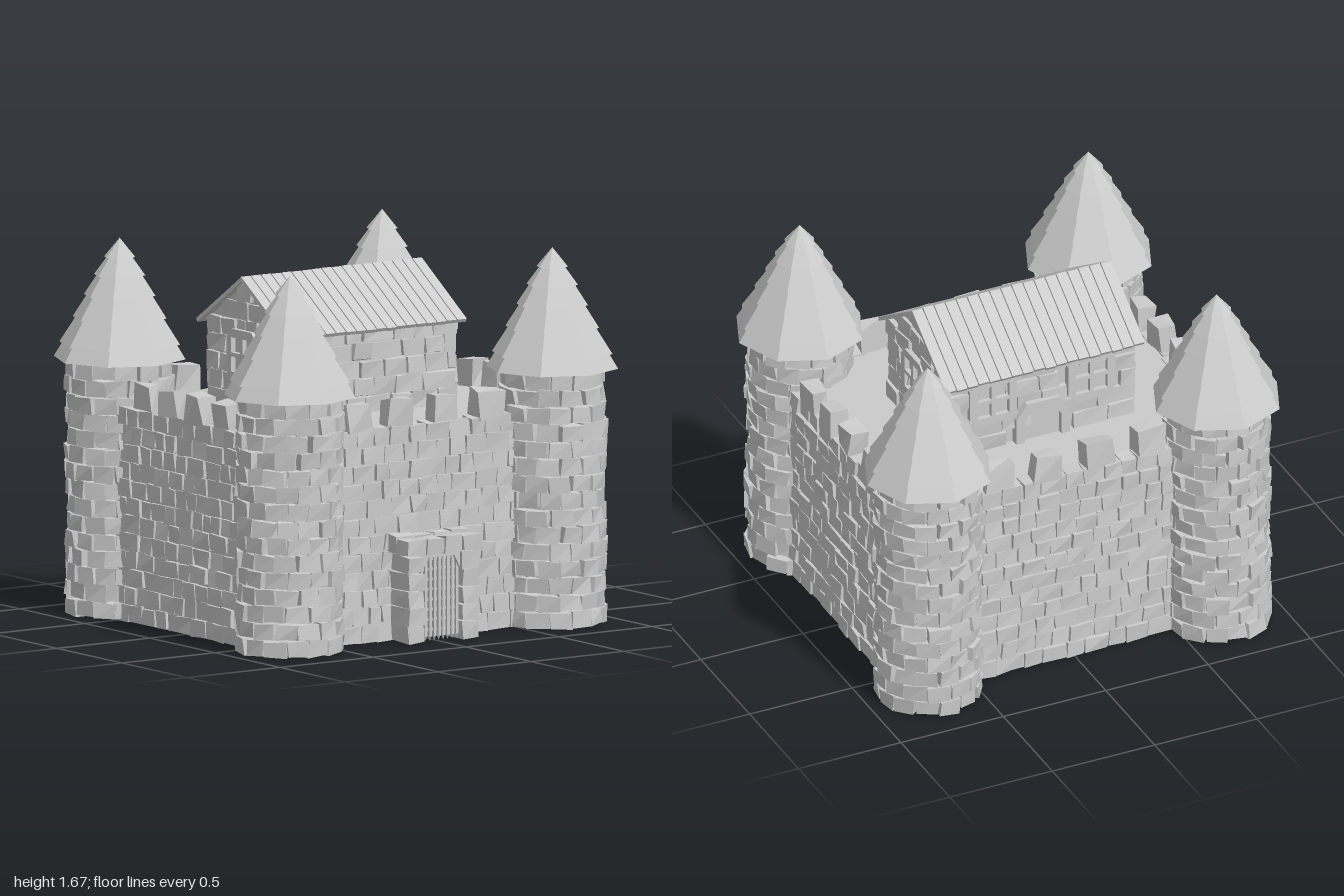
import * as THREE from 'three';
import { mergeGeometries } from 'three/addons/utils/BufferGeometryUtils.js';

const stoneMat = new THREE.MeshStandardMaterial({ color: 0xcccccc, flatShading: true, side: THREE.DoubleSide });

let seed = 7;
function rnd(a = -1, b = 1) {
  seed = (seed * 16807) % 2147483647;
  return a + (b - a) * (seed / 2147483647);
}

// A box whose eight corners are nudged, so it looks hand cut
function stone(x, y, z, w, h, d, wobble = 0.006) {
  const g = new THREE.BoxGeometry(w, h, d);
  const p = g.attributes.position;
  const nudge = Array.from({ length: 8 }, () => [rnd(), rnd(), rnd()]);
  for (let i = 0; i < p.count; i++) {
    const c = (p.getX(i) > 0 ? 1 : 0) + (p.getY(i) > 0 ? 2 : 0) + (p.getZ(i) > 0 ? 4 : 0);
    const n = nudge[c];
    p.setXYZ(i, p.getX(i) + n[0] * wobble, p.getY(i) + n[1] * wobble, p.getZ(i) + n[2] * wobble);
  }
  return g.translate(x, y, z);
}

const box = (x, y, z, w, h, d) => new THREE.BoxGeometry(w, h, d).translate(x, y, z);

function mesh(name, geos, parent) {
  const m = new THREE.Mesh(Array.isArray(geos) ? mergeGeometries(geos) : geos, stoneMat);
  m.name = name;
  parent.add(m);
  return m;
}

function group(name, parent, x = 0, y = 0, z = 0, turn = 0) {
  const g = new THREE.Group();
  g.name = name;
  g.position.set(x, y, z);
  g.rotation.y = turn;
  parent.add(g);
  return g;
}

// Courses of stones along x; limit(y) gives the half width, skip leaves holes
function courses(half, y0, y1, rows, z, depth, width, limit = () => half, skip = () => false) {
  const out = [], h = (y1 - y0) / rows;
  for (let r = 0; r < rows; r++) {
    const y = y0 + (r + 0.5) * h, end = limit(y);
    let x = -end;
    while (x < end - 0.015) {
      let w = Math.min(width * rnd(0.7, 1.3), end - x);
      if (end - x - w < 0.04) w = end - x;
      const cx = x + w / 2;
      if (!skip(cx, y)) out.push(stone(cx, y, z + rnd() * 0.007, w - 0.007, h - 0.006, depth));
      x += w;
    }
  }
  return out;
}

function tower(parent, x, z) {
  const g = group('cornerTower', parent, x, 0, z);
  const stones = [], rows = 15, h = 1.14 / rows, n = 14;
  for (let r = 0; r < rows; r++) {
    for (let i = 0; i < n; i++) {
      const s = stone(0, (r + 0.5) * h, 0.197 + rnd() * 0.008, 0.098 + rnd() * 0.008, h - 0.005, 0.07, 0.007);
      stones.push(s.rotateY(((i + (r % 2) / 2 + rnd() * 0.07) / n) * Math.PI * 2));
    }
  }
  mesh('towerStones', stones, g);
  mesh('towerCore', new THREE.CylinderGeometry(0.195, 0.195, 1.13, 16, 1, true).translate(0, 0.57, 0), g);
  // Eight-sided roof in overlapping tiers
  const tiers = [[0.295, 1.135], [0.27, 1.2], [0.21, 1.315], [0.16, 1.415], [0.115, 1.505], [0.07, 1.585], [0, 1.67]];
  const profile = [new THREE.Vector2(0, 1.135)];
  tiers.forEach(([r, y], i) => {
    profile.push(new THREE.Vector2(r, y));
    if (i < tiers.length - 2) profile.push(new THREE.Vector2(tiers[i + 1][0] - 0.018, tiers[i + 1][1] + 0.006));
  });
  mesh('towerRoof', new THREE.LatheGeometry(profile, 8), g);
}

function wall(parent, name, half, x, z, turn, spacing) {
  const g = group(name, parent, x, 0, z, turn);
  mesh('wallStones', courses(half, 0, 0.955, 12, 0, 0.075, 0.1), g);
  mesh('wallCore', box(0, 0.47, 0, half * 2, 0.94, 0.05), g);
  const merlons = [];
  for (let i = 0; i < 4; i++) {
    merlons.push(stone((i - 1.5) * spacing + rnd() * 0.01, 1.01, 0, spacing * 0.56, 0.12, 0.08, 0.014));
  }
  mesh('merlons', merlons, g);
}

// Frame with cut corners and four panes
function houseWindow(parent, x, y, z, turn) {
  const g = group('window', parent, x, y, z, turn);
  const a = 0.115, c = 0.04;
  const s = new THREE.Shape([[-a, c - a], [c - a, -a], [a - c, -a], [a, c - a], [a, a - c], [a - c, a], [c - a, a], [-a, a - c]]
    .map(p => new THREE.Vector2(...p)));
  for (const i of [-1, 1]) for (const j of [-1, 1]) {
    const k = 0.034, px = i * 0.043, py = j * 0.043;
    s.holes.push(new THREE.Path([[-k, -k], [-k, k], [k, k], [k, -k]].map(p => new THREE.Vector2(p[0] + px, p[1] + py))));
  }
  mesh('windowFrame', new THREE.ExtrudeGeometry(s, { depth: 0.035, bevelEnabled: false }), g);
  mesh('windowPanes', box(0, 0, 0.006, 0.17, 0.17, 0.012), g);
}

function archShape(w, h, rise) {
  const s = new THREE.Shape();
  s.moveTo(-w, 0);
  s.lineTo(w, 0);
  s.lineTo(w, h - rise);
  s.lineTo(w * 0.6, h);
  s.lineTo(-w * 0.6, h);
  s.lineTo(-w, h - rise);
  s.closePath();
  return s;
}

function house(parent) {
  const g = group('house', parent, 0, 0, -0.035);
  const hw = 0.285, eave = 1.345, ridge = 1.535;
  // Solid body with gabled ends
  const s = new THREE.Shape([[-hw, 0.93], [hw, 0.93], [hw, eave], [0, ridge], [-hw, eave]].map(p => new THREE.Vector2(...p)));
  mesh('houseBody', new THREE.ExtrudeGeometry(s, { depth: 0.9, bevelEnabled: false }).translate(0, 0, -0.45).rotateY(Math.PI / 2), g);
  const gable = y => (y < eave - 0.03 ? hw : hw * (ridge - y - 0.02) / (ridge - eave));
  for (const side of [-1, 1]) {
    const end = group('gableEnd', g, side * 0.45, 0, 0, side * Math.PI / 2);
    mesh('gableStones', courses(hw, 0.95, 1.52, 7, 0, 0.035, 0.11, gable,
      (x, y) => Math.abs(x) < 0.11 && Math.abs(y - 1.2) < 0.1), end);
    houseWindow(end, 0, 1.2, 0, 0);
  }
  const front = group('houseFront', g, 0, 0, hw);
  mesh('houseFrontStones', courses(0.46, 0.94, 1.34, 5, 0, 0.035, 0.13), front);
  const back = group('houseBack', g, 0, 0, -hw, Math.PI);
  mesh('houseBackStones', courses(0.46, 0.94, 1.34, 5, 0, 0.035, 0.13, undefined,
    (x, y) => (Math.abs(Math.abs(x) - 0.24) < 0.11 && Math.abs(y - 1.2) < 0.1) || (Math.abs(x) < 0.09 && y < 1.13)), back);
  for (const x of [-0.24, 0.24]) houseWindow(back, x, 1.2, 0, 0);
  // Back doorway
  const frame = archShape(0.13, 0.2, 0.07);
  frame.holes.push(new THREE.Path(archShape(0.09, 0.16, 0.05).getPoints().reverse()));
  mesh('backDoorFrame', new THREE.ExtrudeGeometry(frame, { depth: 0.04, bevelEnabled: false }).translate(0, 0.94, 0), back);
  mesh('backDoor', box(0, 1.015, 0.005, 0.18, 0.15, 0.02), back);
  // Plank roof, two mirrored slopes
  const planks = [], n = 18, pitch = Math.atan2(0.23, 0.35), len = Math.hypot(0.23, 0.35);
  for (let i = 0; i < n; i++) {
    for (const side of [-1, 1]) {
      planks.push(box(0, -0.009, side * len / 2, 0.975 / n - 0.005, 0.018, len + rnd() * 0.006)
        .rotateX(side * pitch).translate(-0.4875 + (i + 0.5) * 0.975 / n, 1.555, 0));
    }
  }
  for (const side of [-1, 1]) {
    planks.push(box(0, -0.014, side * len / 2, 0.96, 0.008, len - 0.02).rotateX(side * pitch).translate(0, 1.555, 0));
  }
  mesh('plankRoof', planks, g);
}

function gate(parent) {
  const g = group('gatehouse', parent, 0, 0, 0.76);
  const blocks = [];
  for (const side of [-1, 1]) {
    for (let r = 0; r < 5; r++) blocks.push(stone(side * 0.145, (r + 0.5) * 0.078, 0, 0.082, 0.073, 0.14));
  }
  for (let i = 0; i < 4; i++) {
    blocks.push(stone((i - 1.5) * 0.1, 0.427, 0.035, 0.096, 0.072, 0.09));
    blocks.push(stone((i - 1.5) * 0.1, 0.435, -0.045, 0.096, 0.078, 0.07));
  }
  mesh('gateStones', blocks, g);
  // Cut corners of the opening
  const arch = new THREE.Shape([[-0.11, 0.3], [-0.07, 0.375], [0.07, 0.375], [0.11, 0.3], [0.11, 0.395], [-0.11, 0.395]]
    .map(p => new THREE.Vector2(...p)));
  mesh('gateArch', new THREE.ExtrudeGeometry(arch, { depth: 0.12, bevelEnabled: false }).translate(0, 0, -0.07), g);
  const bars = [];
  for (let i = 0; i < 9; i++) {
    const x = (i - 4) * 0.024;
    bars.push(box(x, 0.2, 0.03, 0.014, 0.36, 0.014));
    bars.push(new THREE.ConeGeometry(0.01, 0.02, 4).rotateX(Math.PI).translate(x, 0.01, 0.03));
  }
  for (let i = 0; i < 8; i++) bars.push(box(0, 0.05 + i * 0.045, 0.024, 0.21, 0.012, 0.01));
  mesh('portcullis', bars, g);
}

export function createModel() {
  seed = 7;
  const castle = new THREE.Group();
  castle.name = 'castle';
  for (const x of [-0.705, 0.705]) for (const z of [-0.655, 0.655]) tower(castle, x, z);
  wall(castle, 'frontWall', 0.56, 0, 0.65, 0, 0.24);
  wall(castle, 'backWall', 0.56, 0, -0.65, Math.PI, 0.24);
  wall(castle, 'leftWall', 0.5, 0.8, 0, Math.PI / 2, 0.2);
  wall(castle, 'rightWall', 0.5, -0.8, 0, -Math.PI / 2, 0.2);
  mesh('courtyardFloor', box(0, 0.935, 0, 1.6, 0.02, 1.3), castle);
  house(castle);
  gate(castle);
  return castle;
}
